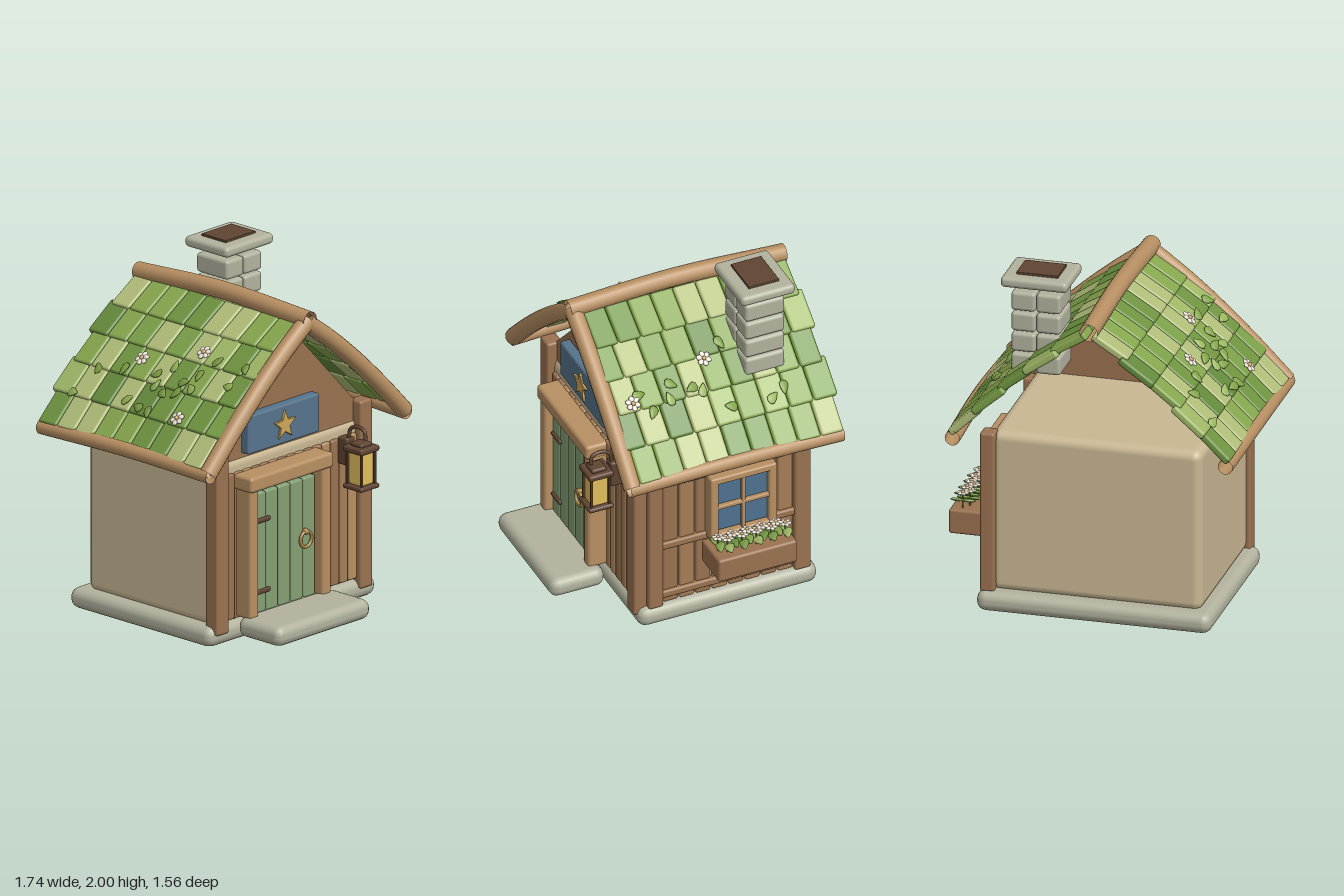
import * as THREE from 'three';
import { RoundedBoxGeometry } from 'three/addons/geometries/RoundedBoxGeometry.js';

const CX = -0.03; // roof centre line
const WOOD = 0x9a7250, LIGHT = 0xb78f62, DARK = 0x5f4432, STONE = 0xb2b29e, CREAM = 0xc9b793;
const GREENS = [0x86a64e, 0x9fb766, 0x6f9440, 0x7a9f48, 0xb0bd78, 0x648a3c];

const mats = new Map();
function mat(color, double = false) {
  const key = color + (double ? 'd' : '');
  if (!mats.has(key)) {
    mats.set(key, new THREE.MeshStandardMaterial({ color, side: double ? THREE.DoubleSide : THREE.FrontSide }));
  }
  return mats.get(key);
}
function add(parent, name, geometry, color, pos = [0, 0, 0], double = false) {
  const m = new THREE.Mesh(geometry, mat(color, double));
  m.name = name;
  m.position.set(...pos);
  parent.add(m);
  return m;
}
// Rounded box given by its limits on each axis
function box(parent, name, color, [x0, x1], [y0, y1], [z0, z1], r = 0.012) {
  const w = x1 - x0, h = y1 - y0, d = z1 - z0;
  const geo = new RoundedBoxGeometry(w, h, d, 2, Math.min(r, w * 0.45, h * 0.45, d * 0.45));
  return add(parent, name, geo, color, [(x0 + x1) / 2, (y0 + y1) / 2, (z0 + z1) / 2]);
}
function tube(parent, name, color, points, r, segments = 20) {
  const curve = new THREE.CatmullRomCurve3(points.map(p => new THREE.Vector3(...p)));
  return add(parent, name, new THREE.TubeGeometry(curve, segments, r, 14), color, [0, 0, 0], true);
}
function group(parent, name) {
  const g = new THREE.Group();
  g.name = name;
  parent.add(g);
  return g;
}

// Convex roof slope, measured outward from the centre line
const slope = new THREE.QuadraticBezierCurve(
  new THREE.Vector2(0.03, 1.745), new THREE.Vector2(0.44, 1.47), new THREE.Vector2(0.775, 1.09));
function placeOnRoof(obj, side, t, z, lift) {
  const p = slope.getPoint(t), d = slope.getTangent(t);
  obj.position.set(CX + side * (p.x - d.y * lift), p.y + d.x * lift, z);
  obj.rotation.z = side * Math.atan2(d.y, d.x);
}

// Leaf: flattened ball drawn to a tip along +z
const leafGeo = new THREE.SphereGeometry(1, 10, 8);
{
  const p = leafGeo.attributes.position;
  for (let i = 0; i < p.count; i++) p.setX(i, p.getX(i) * (1 - 0.6 * p.getZ(i)));
  leafGeo.scale(0.026, 0.009, 0.043);
  leafGeo.computeVertexNormals();
}
const petalGeo = new THREE.SphereGeometry(1, 8, 6).scale(0.019, 0.009, 0.016);
const budGeo = new THREE.SphereGeometry(0.013, 8, 6);
function flower(parent, scale = 1) {
  const g = group(parent, 'flower');
  for (let i = 0; i < 6; i++) {
    const a = i * Math.PI / 3;
    add(g, 'petal', petalGeo, 0xeee3d6, [0.027 * Math.cos(a), 0, 0.027 * Math.sin(a)]).rotation.y = -a;
  }
  add(g, 'flowerCentre', budGeo, 0xd8b070, [0, 0.006, 0]);
  g.scale.setScalar(scale);
  return g;
}

function buildWalls(root) {
  box(root, 'foundation', STONE, [-0.70, 0.65], [0, 0.12], [-0.66, 0.43], 0.055);
  box(root, 'doorStep', STONE, [-0.51, 0.24], [0.04, 0.155], [0.45, 0.78], 0.05);
  box(root, 'body', CREAM, [-0.63, 0.585], [0.1, 1.06], [-0.58, 0.4], 0.055);
  // Front planks, right-hand side planks and rails
  const tones = [WOOD, LIGHT, 0xa67d56];
  for (let i = 0; i < 15; i++) {
    const x = -0.55 + i * 0.07;
    box(root, 'frontPlank', tones[(i * 2) % 3], [x, x + 0.065], [0.13, 0.98], [0.38, 0.42]);
  }
  for (let i = 0; i < 8; i++) {
    const z = -0.52 + i * 0.1;
    box(root, 'sidePlank', tones[i % 2 ? 0 : 2], [0.565, 0.605], [0.115, 0.99], [z, z + 0.09]);
  }
  for (const y of [0.18, 0.51, 0.93]) box(root, 'sideRail', WOOD, [0.58, 0.625], [y - 0.023, y + 0.023], [-0.55, 0.33]);
  // Corner posts
  for (const x of [-0.605, 0.548]) box(root, 'frontPost', WOOD, [x - 0.05, x + 0.05], [0.07, 1.165], [0.35, 0.445], 0.015);
  box(root, 'sidePost', WOOD, [0.55, 0.635], [0.11, 1.03], [0.28, 0.37], 0.015);
  box(root, 'rearPost', WOOD, [0.55, 0.635], [0.11, 1.06], [-0.62, -0.52], 0.015);
  // Front gable
  const shape = new THREE.Shape([[-0.58, 1.04], [0.58, 1.04], [0.55, 1.15], [0, 1.73], [-0.55, 1.15]]
    .map(([x, y]) => new THREE.Vector2(x, y)));
  add(root, 'gable', new THREE.ExtrudeGeometry(shape, { depth: 0.06, bevelEnabled: false }), WOOD, [CX, 0, 0.325]);
}

function buildDoor(root) {
  const g = group(root, 'door');
  box(g, 'doorBacking', DARK, [-0.405, 0.11], [0.14, 0.89], [0.4, 0.45]);
  for (let i = 0; i < 5; i++) {
    const x = -0.4 + i * 0.099;
    box(g, 'doorPlank', 0x84a074, [x, x + 0.096], [0.15, 0.85], [0.43, 0.485]);
  }
  for (const x of [-0.475, 0.105]) box(g, 'doorJamb', LIGHT, [x, x + 0.07], [0.14, 0.93], [0.4, 0.53], 0.02);
  box(g, 'lintel', LIGHT, [-0.485, 0.18], [0.885, 0.975], [0.4, 0.545], 0.02);
  for (const y of [0.275, 0.69]) box(g, 'hinge', DARK, [-0.39, -0.28], [y - 0.013, y + 0.013], [0.48, 0.5], 0.008);
  add(g, 'ringHandle', new THREE.TorusGeometry(0.045, 0.01, 8, 24), 0xa88448, [-0.005, 0.5, 0.505]);
  add(g, 'handleKnob', new THREE.SphereGeometry(0.02, 12, 8), 0xa88448, [-0.005, 0.543, 0.5]);
}

function buildSign(root) {
  box(root, 'signBoard', 0x56748c, [-0.4, 0.175], [1.07, 1.295], [0.37, 0.44]);
  const star = new THREE.Shape();
  for (let i = 0; i < 10; i++) {
    const a = Math.PI / 2 + i * Math.PI / 5, r = i % 2 ? 0.036 : 0.083;
    star[i ? 'lineTo' : 'moveTo'](r * Math.cos(a), r * Math.sin(a));
  }
  const geo = new THREE.ExtrudeGeometry(star, { depth: 0.01, bevelThickness: 0.004, bevelSize: 0.004, bevelSegments: 1 });
  add(root, 'signStar', geo, 0xcfa75a, [-0.113, 1.18, 0.438]);
}

function buildLantern(root) {
  const g = group(root, 'lantern'), x = 0.368, z = 0.57;
  const around = (c, r) => [c - r, c + r];
  box(g, 'lanternBracket', DARK, around(x, 0.035), [0.84, 1.0], [0.42, 0.495]);
  tube(g, 'lanternHook', DARK, [[x, 0.97, 0.475], [x, 1.05, 0.49], [x, 1.075, 0.54], [x, 1.06, 0.595], [x, 1.01, 0.605]], 0.011);
  box(g, 'lanternCap', DARK, around(x, 0.075), [0.94, 0.975], around(z, 0.075));
  box(g, 'lanternTop', DARK, around(x, 0.045), [0.965, 0.995], around(z, 0.045));
  box(g, 'lanternBase', DARK, around(x, 0.075), [0.725, 0.753], around(z, 0.075));
  box(g, 'lanternGlass', 0xe0bd5c, around(x, 0.05), [0.75, 0.945], around(z, 0.05));
  for (const sx of [-1, 1]) for (const sz of [-1, 1]) {
    box(g, 'lanternBar', DARK, around(x + sx * 0.054, 0.007), [0.74, 0.95], around(z + sz * 0.054, 0.007), 0.003);
  }
}

function buildWindow(root) {
  const g = group(root, 'window');
  box(g, 'windowGlass', 0x4f7290, [0.6, 0.655], [0.55, 0.89], [-0.36, -0.02], 0.005);
  for (const z of [-0.39, -0.035]) box(g, 'windowJamb', LIGHT, [0.59, 0.685], [0.5, 0.925], [z, z + 0.05]);
  for (const y of [0.5, 0.88]) box(g, 'windowRail', LIGHT, [0.59, 0.685], [y, y + 0.045], [-0.39, 0.015]);
  box(g, 'mullion', LIGHT, [0.65, 0.68], [0.54, 0.89], [-0.2, -0.176], 0.006);
  box(g, 'glazingBar', LIGHT, [0.65, 0.68], [0.705, 0.73], [-0.36, -0.02], 0.006);
  box(g, 'flowerBox', WOOD, [0.63, 0.865], [0.355, 0.5], [-0.43, 0.05], 0.015);
  for (let i = 0; i < 10; i++) {
    const z = 0.01 - i * 0.044, x = 0.78 + (i % 2 ? 0.015 : -0.015);
    add(g, 'flowerStem', new THREE.CylinderGeometry(0.005, 0.005, 0.1, 6), 0x6f9440, [x, 0.54, z]);
    flower(g, 0.8).position.set(x, 0.59, z);
    for (const s of [-1, 1]) {
      const leaf = add(g, 'boxLeaf', leafGeo, GREENS[i % 4], [x + s * 0.035, 0.545, z]);
      leaf.rotation.set(0.3, s * (1.2 + 0.2 * (i % 3)), 0);
    }
  }
}

function buildRoof(root) {
  const g = group(root, 'roof');
  // Five overlapping rows of shingles on each slope
  for (const side of [-1, 1]) for (let row = 0; row < 5; row++) {
    const odd = row % 2, w = odd ? 0.146 : 0.138, start = odd ? 0.535 : 0.49;
    for (let col = 0; col < 9; col++) {
      const pick = (row * 7 + col * 5 + (col * col + row * col) % 4 + (side > 0 ? 2 : 0)) % GREENS.length;
      const tile = add(g, 'shingle', new RoundedBoxGeometry(0.235, 0.045, w - 0.003, 2, 0.015), GREENS[pick]);
      placeOnRoof(tile, side, 0.1 + row * 0.2, start - (col + 0.5) * w, 0.012);
      tile.rotation.z += side * 0.06;
    }
  }
  // Round timbers along the verge, eaves and ridge
  for (const side of [-1, 1]) {
    const at = (u, y) => [CX + side * u, y, 0.528];
    tube(g, 'vergeLog', LIGHT, [at(-0.01, 1.785), at(0.2, 1.63), at(0.4, 1.46), at(0.6, 1.27), at(0.79, 1.075)], 0.05);
    const x = CX + side * 0.785;
    tube(g, 'eaveLog', LIGHT, [[x, 1.07, 0.55], [x + side * 0.01, 1.085, -0.1], [x, 1.065, -0.75]], 0.043);
  }
  tube(g, 'ridgeLog', LIGHT, [[CX, 1.795, 0.56], [CX, 1.82, -0.1], [CX, 1.785, -0.755]], 0.052);
  // Scattered leaves and blossoms, given as x, z
  const leaves = [[-.71, -.61], [-.57, -.54], [-.54, -.37], [-.67, -.23], [-.69, -.13], [-.7, -.05], [-.57, -.1], [-.52, -.14],
    [-.6, -.02], [-.46, -.05], [-.58, .06], [-.52, .07], [-.54, .14], [-.47, .14], [-.38, .2], [-.48, .37], [-.38, .41],
    [.57, -.48], [.6, -.4], [.59, -.15], [.31, -.2], [.49, -.02], [.47, .04], [.43, .15], [.49, .18], [.53, .3], [.44, .35]];
  const sprout = (obj, x, z, lift, turn) => {
    const holder = group(g, 'roofPlant');
    holder.add(obj);
    obj.rotation.y = turn;
    placeOnRoof(holder, Math.sign(x - CX), (Math.abs(x - CX) - 0.03) / 0.78 - 0.03, z, lift);
  };
  leaves.forEach(([x, z], i) => {
    const leaf = add(g, 'roofLeaf', leafGeo, i % 3 ? 0x7fa044 : 0x96b45a);
    leaf.rotation.x = -0.25;
    sprout(leaf, x, z, 0.052, i * 2.3);
  });
  for (const [x, z] of [[-.47, -.29], [-.36, .08], [-.69, .175], [.36, -.08], [.47, .4]]) sprout(flower(g), x, z, 0.06, x * 9);
}

function buildChimney(root) {
  const g = group(root, 'chimney');
  for (let i = 0; i < 4; i++) for (const x of [0.195, 0.339]) {
    const y = 1.41 + i * 0.122;
    box(g, 'chimneyStone', STONE, [x, x + 0.141], [y, y + 0.112], [-0.53, -0.29], 0.02);
  }
  box(g, 'chimneyCap', STONE, [0.145, 0.53], [1.925, 1.987], [-0.575, -0.245], 0.025);
  box(g, 'flue', DARK, [0.215, 0.455], [1.95, 2.0], [-0.505, -0.32], 0.003);
}

export function createModel() {
  const root = new THREE.Group();
  root.name = 'cottage';
  for (const build of [buildWalls, buildDoor, buildSign, buildLantern, buildWindow, buildRoof, buildChimney]) build(root);
  return root;
}
